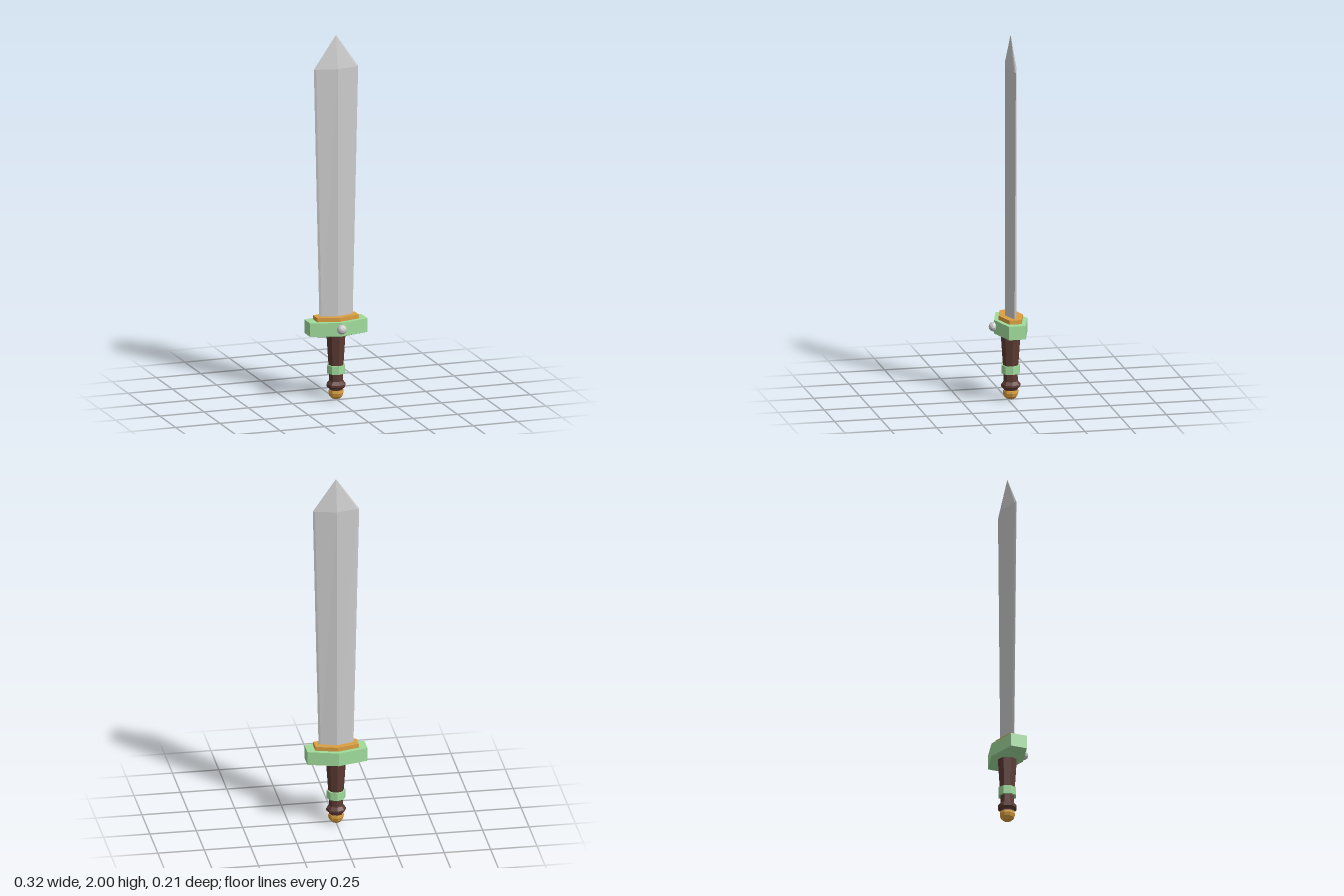
import * as THREE from 'three';

const AXIS_Z = -0.016; // the gem on the front shifts the sword's axis back

function mesh(name, geometry, color) {
  const material = new THREE.MeshStandardMaterial({ color, flatShading: true });
  const m = new THREE.Mesh(geometry, material);
  m.name = name;
  return m;
}

// Joins rings of [x, y, z] corners (counter-clockwise seen from above), bottom to top, with capped ends
function loft(rings) {
  const pos = [];
  const n = rings[0].length;
  const tri = (a, b, c) => pos.push(...a, ...b, ...c);
  for (let r = 0; r < rings.length - 1; r++) {
    for (let i = 0; i < n; i++) {
      const j = (i + 1) % n;
      const [a, b, c, d] = [rings[r][i], rings[r][j], rings[r + 1][j], rings[r + 1][i]];
      tri(a, b, c);
      tri(a, c, d);
    }
  }
  const top = rings[rings.length - 1];
  for (let i = 1; i < n - 1; i++) {
    tri(rings[0][0], rings[0][i + 1], rings[0][i]);
    tri(top[0], top[i], top[i + 1]);
  }
  const g = new THREE.BufferGeometry();
  g.setAttribute('position', new THREE.Float32BufferAttribute(pos, 3));
  g.computeVertexNormals();
  return g;
}

// Stretched hexagon: w = half width, s = half depth at the sides, d = half depth in the middle
const hexRing = (y, w, s, d) =>
  [[w, s], [w, -s], [0, -d], [-w, -s], [-w, s], [0, d]].map(([x, z]) => [x, y, z]);

// Blade section: shallow ridge with a narrow sharpened edge on both sides
const bladeRing = (y, w, bevel, s, d) => {
  const i = w - bevel;
  return [[w, 0], [i, -s], [0, -d], [-i, -s], [-w, 0], [-i, s], [0, d], [i, s]].map(([x, z]) => [x, y, z]);
};

const lathe = (points) =>
  new THREE.LatheGeometry(points.map(([r, y]) => new THREE.Vector2(r, y)), 8);

export function createModel() {
  const sword = new THREE.Group();
  sword.name = 'sword';
  const GREEN = 0xa0dc9c, GOLD = 0xdb9f40, BROWN = 0x5c3a32, GREY = 0xcccccc;

  const body = new THREE.Group();
  body.name = 'swordBody';
  body.position.z = AXIS_Z;
  sword.add(body);

  // Blade, widening upwards to a pointed tip
  body.add(mesh('blade', loft([
    bladeRing(0.45, 0.094, 0.011, 0.006, 0.031),
    bladeRing(1.82, 0.125, 0.011, 0.006, 0.031),
    bladeRing(2.0, 0.0005, 0.0002, 0.0002, 0.0004),
  ]), GREY));

  // Collar and guard
  body.add(mesh('collar', loft([
    hexRing(0.43, 0.117, 0.033, 0.066),
    hexRing(0.462, 0.117, 0.033, 0.066),
  ]), GOLD));
  body.add(mesh('guard', loft([
    hexRing(0.355, 0.1, 0.03, 0.062),
    hexRing(0.366, 0.162, 0.045, 0.091),
    hexRing(0.44, 0.162, 0.045, 0.091),
  ]), GREEN));

  // Tapered grip with a flared foot
  body.add(mesh('grip', lathe([
    [0, 0.04], [0.036, 0.045], [0.038, 0.06], [0.053, 0.073], [0.053, 0.084],
    [0.039, 0.102], [0.038, 0.15], [0.043, 0.2], [0.054, 0.36], [0, 0.36],
  ]), BROWN));

  // Ring around the grip
  body.add(mesh('gripRing', lathe([
    [0.036, 0.145], [0.051, 0.145], [0.051, 0.19], [0.036, 0.19],
  ]), GREEN));

  // Rounded pommel
  body.add(mesh('pommel', lathe([
    [0, 0], [0.022, 0.005], [0.037, 0.02], [0.043, 0.038], [0.041, 0.053], [0, 0.053],
  ]), GOLD));

  // Gem on the front of the guard
  const gem = mesh('gem', new THREE.IcosahedronGeometry(0.027, 1), GREY);
  gem.position.set(0, 0.404, 0.077);
  sword.add(gem);

  return sword;
}
